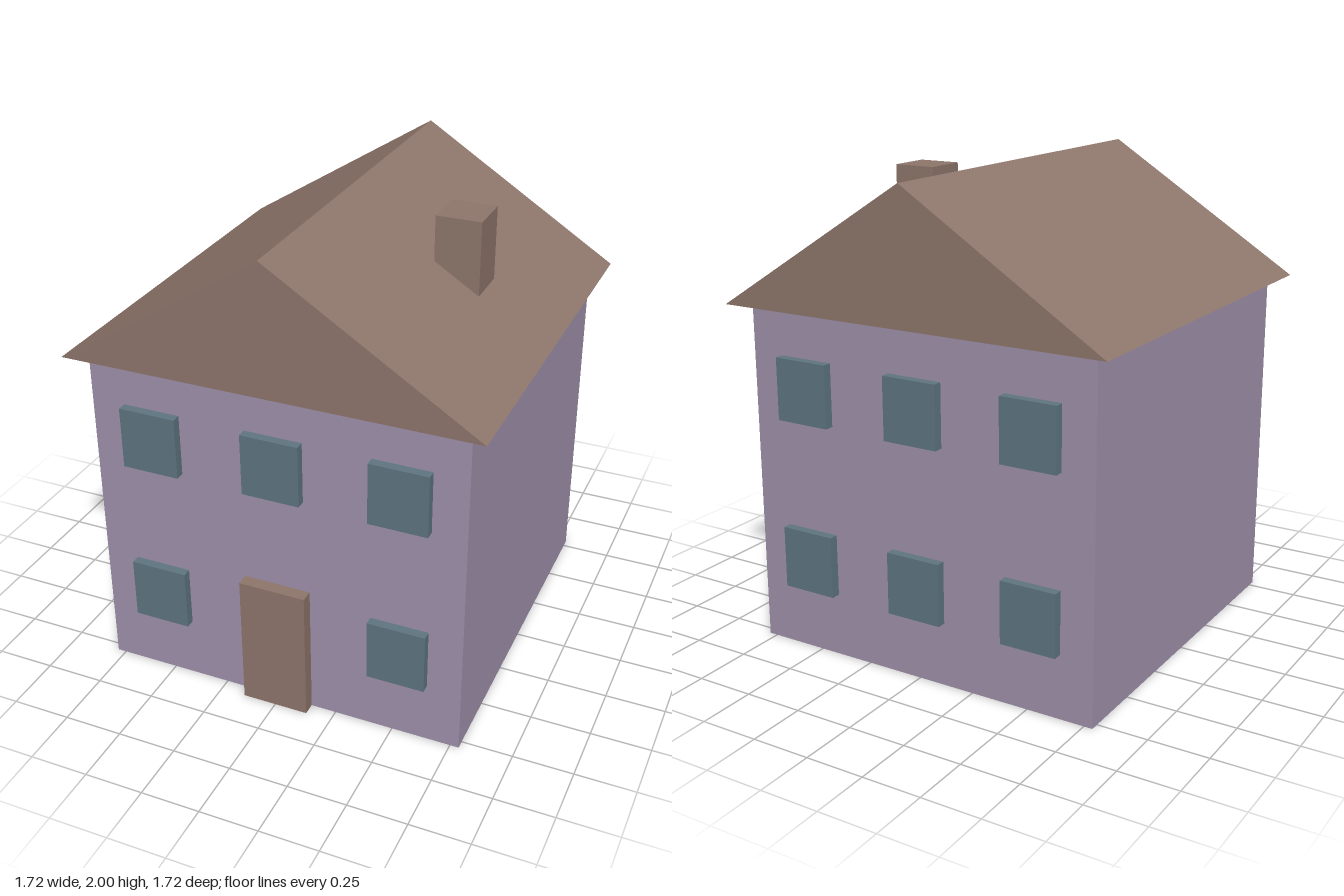
import * as THREE from 'three';

export function createModel() {
  const house = new THREE.Group();
  house.name = 'house';

  const mat = (name, color) => {
    const m = new THREE.MeshStandardMaterial({ color });
    m.name = name;
    return m;
  };
  const lilac = mat('lilac wall', 0xa192ad);
  const brown = mat('brown wood', 0x8f776c);
  const glass = mat('blue grey glass', 0x5f7682);

  const add = (name, geometry, material, x, y, z) => {
    const mesh = new THREE.Mesh(geometry, material);
    mesh.name = name;
    mesh.position.set(x, y, z);
    house.add(mesh);
    return mesh;
  };

  // Walls
  const half = 0.787, eave = 1.455;
  add('walls', new THREE.BoxGeometry(half * 2, eave, half * 2), lilac, 0, eave / 2, 0);

  // Gable roof: a triangular prism with a closed underside
  const over = 0.862;
  const gable = new THREE.Shape([
    new THREE.Vector2(-over, 0),
    new THREE.Vector2(over, 0),
    new THREE.Vector2(0, 2 - eave),
  ]);
  const roof = new THREE.ExtrudeGeometry(gable, { depth: over * 2, bevelEnabled: false });
  add('roof', roof, brown, 0, eave, -over);

  // Chimney, with its foot sunk into the left slope
  add('chimney', new THREE.BoxGeometry(0.188, 0.37, 0.188), brown, 0.47, 1.765, 0);

  // Front door
  add('door', new THREE.BoxGeometry(0.284, 0.576, 0.11), brown, 0, 0.289, 0.787);

  // Windows: two rows of three on front and back, the door taking one place
  const pane = new THREE.BoxGeometry(0.242, 0.262, 0.078);
  for (const side of [1, -1]) {
    for (const y of [0.4, 1.125]) {
      for (const x of [-0.524, 0, 0.524]) {
        if (side === 1 && y < 1 && x === 0) continue;
        add(side === 1 ? 'frontWindow' : 'backWindow', pane, glass, x, y, side * half);
      }
    }
  }

  return house;
}
